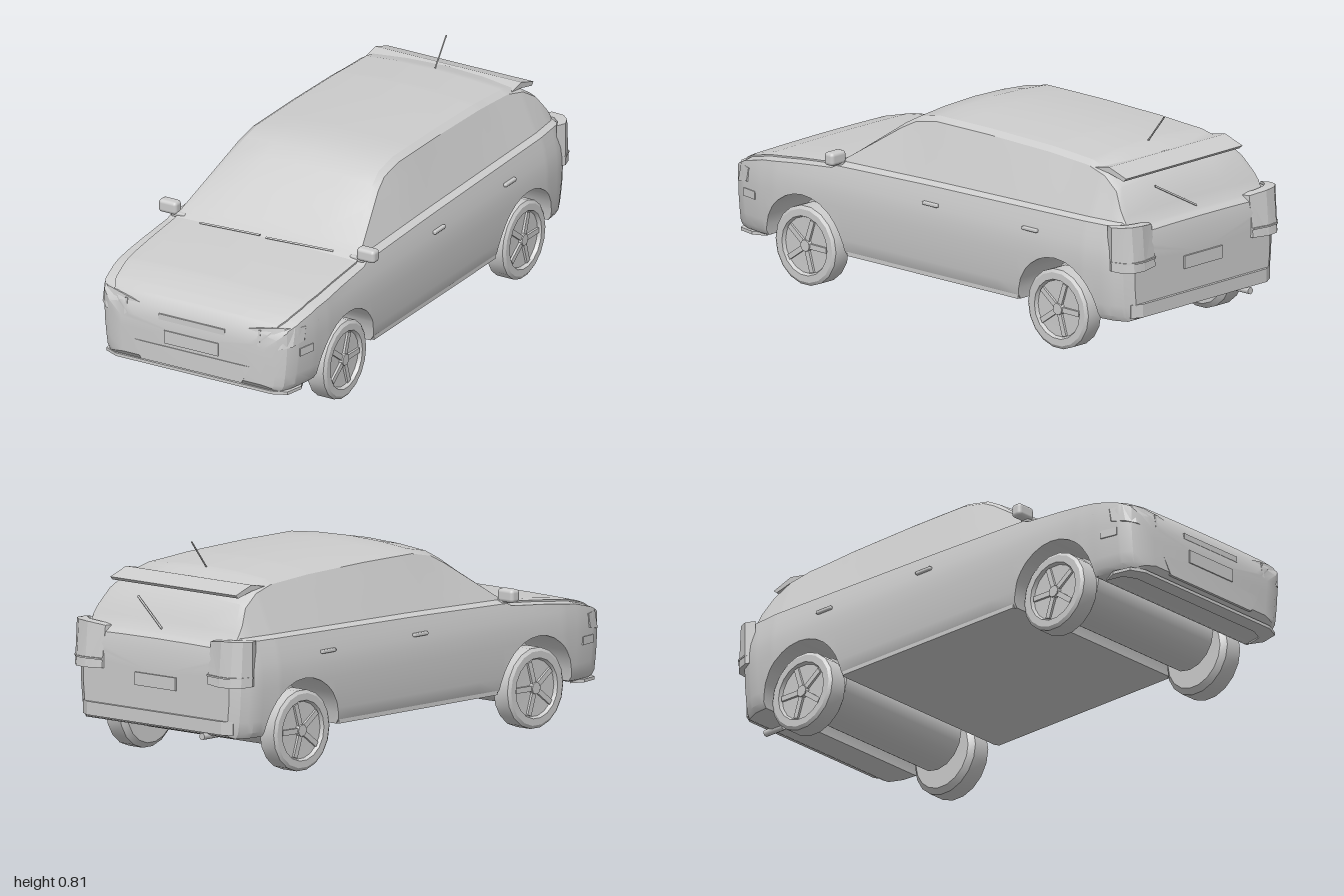
import * as THREE from 'three';
import { toCreasedNormals } from 'three/addons/utils/BufferGeometryUtils.js';
import { RoundedBoxGeometry } from 'three/addons/geometries/RoundedBoxGeometry.js';

const grey = new THREE.MeshStandardMaterial({ color: 0xcccccc, side: THREE.DoubleSide });
grey.name = 'plain grey';

// piecewise-linear lookup in a list of [key, value], keys ascending
function look(table, k) {
  if (k <= table[0][0]) return table[0][1];
  for (let i = 1; i < table.length; i++) {
    const [a, va] = table[i - 1], [b, vb] = table[i];
    if (k <= b) return va + (vb - va) * (k - a) / (b - a);
  }
  return table[table.length - 1][1];
}

// closed skin over a row of point loops, capped at both ends
function loft(loops, crease = 0.5) {
  const n = loops[0].length, out = [];
  const tri = (...p) => {
    const [a, b, c] = p.map(q => new THREE.Vector3(...q));
    if (b.sub(a).cross(c.sub(a)).length() > 1e-9) p.forEach(q => out.push(...q));
  };
  for (let s = 0; s < loops.length - 1; s++) for (let i = 0; i < n; i++) {
    const j = (i + 1) % n, A = loops[s], B = loops[s + 1];
    tri(A[i], B[i], A[j]);
    tri(A[j], B[i], B[j]);
  }
  const middle = l => [0, 1, 2].map(k => l.reduce((t, p) => t + p[k], 0) / n);
  const first = loops[0], last = loops[loops.length - 1];
  for (let i = 0; i < n; i++) {
    const j = (i + 1) % n;
    tri(middle(first), first[i], first[j]);
    tri(middle(last), last[j], last[i]);
  }
  const g = new THREE.BufferGeometry();
  g.setAttribute('position', new THREE.Float32BufferAttribute(out, 3));
  return toCreasedNormals(g, crease);
}

const WHEELS = [0.61, -0.645], ARCH = 0.195;
// centre-line height, floor height and half width along z
const TOP = [[-0.975, 0.44], [-0.965, 0.48], [-0.94, 0.5], [-0.92, 0.54], [-0.86, 0.64], [-0.79, 0.69], [-0.7, 0.715],
  [-0.5, 0.728], [-0.2, 0.735], [0.06, 0.735], [0.16, 0.715], [0.22, 0.68], [0.44, 0.515], [0.48, 0.49],
  [0.65, 0.475], [0.82, 0.455], [0.92, 0.43], [0.965, 0.41], [0.99, 0.375], [1, 0.33]];
const FLOOR = [[-0.975, 0.17], [-0.96, 0.15], [0.4, 0.15], [0.8, 0.145], [0.9, 0.138], [0.97, 0.14], [1, 0.17]];
const WIDTH = [[-0.975, 0.36], [-0.95, 0.395], [-0.9, 0.42], [-0.78, 0.433], [0.75, 0.433], [0.85, 0.426],
  [0.93, 0.41], [0.97, 0.388], [0.99, 0.355], [1, 0.3]];
const BELT = [[-0.8, 0.505], [0, 0.493], [0.5, 0.48], [0.9, 0.43]];
// side bulge: half width by height
const SIDE = [[0.135, 0.395], [0.17, 0.418], [0.25, 0.43], [0.37, 0.435], [0.44, 0.426], [0.51, 0.408]];

function bodyLoop(z) {
  let floor = look(FLOOR, z);
  for (const w of WHEELS) {
    const u = (z - w) / ARCH;
    if (Math.abs(u) < 1) floor = Math.max(floor, 0.15 + ARCH * Math.sqrt(1 - u * u));
  }
  const top = look(TOP, z), k = look(WIDTH, z) / 0.433;
  const belt = Math.min(look(BELT, z), top - 0.02);
  const cabin = THREE.MathUtils.clamp((top - belt - 0.02) / 0.2, 0, 1);
  const drop = 0.008 + 0.025 * cabin, eave = Math.max(top - drop, belt + 0.006);
  const ledge = belt + Math.min(0.012, (eave - belt) * 0.5);
  const xe = 0.385 - 0.075 * cabin;
  const half = [[look(SIDE, floor) - 0.012, floor]];
  for (const h of [0.15, 0.17, 0.21, 0.27, 0.33, 0.38, 0.42, 0.46]) {
    const y = Math.min(Math.max(h, floor), belt);
    half.push([look(SIDE, y), y]);
  }
  half.push([look(SIDE, belt), belt]);
  for (let i = 0; i <= 4; i++) half.push([0.385 + (xe - 0.385) * i / 4, ledge + (eave - ledge) * i / 4]);
  half.push([xe * 0.92, eave + (top - eave) * 0.5], [xe * 0.5, top - (top - eave) * 0.15]);
  const right = half.map(([x, y]) => [x * k, y, z]);
  return [[0, floor, z], ...right, [0, top, z], ...right.map(([x, y]) => [-x, y, z]).reverse()];
}

export function createModel() {
  const car = new THREE.Group();
  car.name = 'car';
  const add = (name, geo, x = 0, y = 0, z = 0, parent = car) => {
    const m = new THREE.Mesh(geo, grey);
    m.name = name;
    m.position.set(x, y, z);
    parent.add(m);
    return m;
  };
  const box = (name, w, h, d, x, y, z) => add(name, new THREE.BoxGeometry(w, h, d), x, y, z);
  const rod = (name, a, b, r) => {
    const path = new THREE.LineCurve3(new THREE.Vector3(...a), new THREE.Vector3(...b));
    return add(name, new THREE.TubeGeometry(path, 1, r, 6), 0, 0, 0);
  };
  // raised panel following rows of [x, z, low, high, z at the top]
  const panel = (name, rows, depth) => add(name, loft(rows.map(([x, z, lo, hi, zt = z]) => {
    const inX = x * (1 - depth), inZ = 1 - depth;
    return [[x, lo, z], [x, hi, zt], [inX, hi, zt * inZ], [inX, lo, z * inZ]];
  }), 0.4));

  // body shell, with extra sections around the wheel arches
  const stations = TOP.map(t => t[0]).concat(WIDTH.map(t => t[0]), [0.3, -0.05, -0.35]);
  for (const w of WHEELS) for (let i = 0; i <= 14; i++) stations.push(w + ARCH * Math.cos(i * Math.PI / 14));
  stations.sort((a, b) => b - a);
  add('bodyShell', loft(stations.filter((z, i) => !i || stations[i - 1] - z > 1e-4).map(bodyLoop), 0.45));

  // wheels and the drums between them
  const tyre = new THREE.LatheGeometry([[0, -0.045], [0.1, -0.048], [0.13, -0.048], [0.15, -0.03], [0.15, 0.038],
    [0.138, 0.046], [0.112, 0.046], [0.106, 0.032], [0, 0.03]].map(p => new THREE.Vector2(...p)), 18);
  const tyreGeo = toCreasedNormals(tyre, 0.5);
  for (const z of WHEELS) {
    const drum = add('axleDrum', new THREE.CylinderGeometry(0.118, 0.118, 0.61, 16), 0, 0.198, z);
    drum.rotation.z = Math.PI / 2;
    for (const s of [1, -1]) {
      const wheel = new THREE.Group();
      wheel.name = 'wheel';
      wheel.position.set(s * 0.376, 0.15, z);
      wheel.rotation.z = -s * Math.PI / 2;
      car.add(wheel);
      add('tyre', tyreGeo, 0, 0, 0, wheel);
      add('hub', new THREE.CylinderGeometry(0.022, 0.026, 0.014, 10), 0, 0.037, 0, wheel);
      for (let i = 0; i < 5; i++) {
        const a = i * Math.PI * 2 / 5 + 0.3;
        const spoke = add('spoke', new THREE.BoxGeometry(0.085, 0.01, 0.02), Math.cos(a) * 0.06, 0.035, -Math.sin(a) * 0.06, wheel);
        spoke.rotation.y = a;
      }
    }
  }

  // parts found on both sides
  for (const s of [1, -1]) {
    panel('headlamp', [[0.155, 1, 0.305, 0.358, 0.99], [0.27, 1.0, 0.306, 0.384, 0.988], [0.33, 0.993, 0.312, 0.394, 0.978],
      [0.375, 0.984, 0.32, 0.398, 0.965], [0.405, 0.955, 0.328, 0.396, 0.94], [0.42, 0.9, 0.338, 0.39, 0.89]]
      .map(([x, ...r]) => [s * x, ...r]), 0.03);
    panel('headlampDivider', [[0.278, 1.0, 0.31, 0.38, 0.991], [0.288, 1.0, 0.31, 0.38, 0.991]].map(([x, ...r]) => [s * x, ...r]), 0.01);
    panel('tailLamp', [[0.26, -0.985, 0.345, 0.5, -0.965], [0.33, -0.998, 0.342, 0.51, -0.985], [0.38, -0.992, 0.342, 0.512, -0.978],
      [0.41, -0.965, 0.342, 0.512, -0.955], [0.425, -0.92, 0.345, 0.51, -0.92]].map(([x, ...r]) => [s * x, ...r]), 0.04);
    panel('tailLampBand', [[0.26, -0.988, 0.375, 0.381], [0.33, -1, 0.375, 0.381], [0.381, -0.994, 0.375, 0.381],
      [0.412, -0.967, 0.375, 0.381], [0.427, -0.92, 0.375, 0.381]].map(([x, ...r]) => [s * x, ...r]), 0.01);
    add('mirror', new RoundedBoxGeometry(0.078, 0.05, 0.045, 2, 0.014), s * 0.421, 0.512, 0.458);
    add('mirrorArm', new RoundedBoxGeometry(0.06, 0.02, 0.035, 1, 0.006), s * 0.38, 0.488, 0.455);
    for (const z of [-0.025, -0.52]) add('doorHandle', new RoundedBoxGeometry(0.016, 0.014, 0.075, 1, 0.005), s * 0.431, 0.43, z);
    box('sideRepeater', 0.01, 0.012, 0.035, s * 0.423, 0.385, 0.8);
    box('sideMarker', 0.012, 0.03, 0.07, s * 0.416, 0.295, 0.885).rotation.y = -s * 0.2;
    box('sill', 0.014, 0.02, 0.85, s * 0.408, 0.16, -0.02);
  }

  // nose details
  box('grilleBar', 0.28, 0.022, 0.012, 0, 0.342, 0.995);
  box('frontPlate', 0.23, 0.05, 0.009, 0, 0.268, 1.0);
  panel('lowerIntake', [[-0.25, 1, 0.225, 0.23], [-0.213, 1.003, 0.16, 0.23, 1.003],
    [0.213, 1.003, 0.16, 0.23, 1.003], [0.25, 1, 0.225, 0.23]], 0.01);
  panel('frontLip', [[-0.4, 0.89, 0.135, 0.147], [-0.385, 0.96, 0.135, 0.147], [-0.33, 0.985, 0.135, 0.147],
    [0.33, 0.985, 0.135, 0.147], [0.385, 0.96, 0.135, 0.147], [0.4, 0.89, 0.135, 0.147]], 0.06);
  rod('windscreenWiper', [-0.27, 0.492, 0.495], [-0.02, 0.498, 0.487], 0.004);
  rod('windscreenWiper', [0.01, 0.498, 0.495], [0.28, 0.497, 0.468], 0.004);

  // tail details
  panel('rearBumper', [[-0.37, -0.965, 0.165, 0.215], [-0.33, -0.987, 0.165, 0.215],
    [0.33, -0.987, 0.165, 0.215], [0.37, -0.965, 0.165, 0.215]], 0.04);
  box('rearPlate', 0.2, 0.048, 0.009, 0, 0.325, -0.978);
  const pipe = add('exhaustPipe', new THREE.CylinderGeometry(0.013, 0.013, 0.09, 10), -0.24, 0.15, -0.945);
  pipe.rotation.x = Math.PI / 2;
  const wing = [[-0.73, 0.68], [-0.8, 0.693], [-0.885, 0.664], [-0.872, 0.652], [-0.8, 0.67]];
  add('roofSpoiler', loft([-0.31, 0.31].map(x => wing.map(([z, y]) => [x, y, z])), 0.4));
  rod('rearWiper', [0, 0.515, -0.945], [0.165, 0.61, -0.893], 0.004);
  rod('aerial', [0, 0.712, -0.705], [0, 0.815, -0.785], 0.003);
  return car;
}
